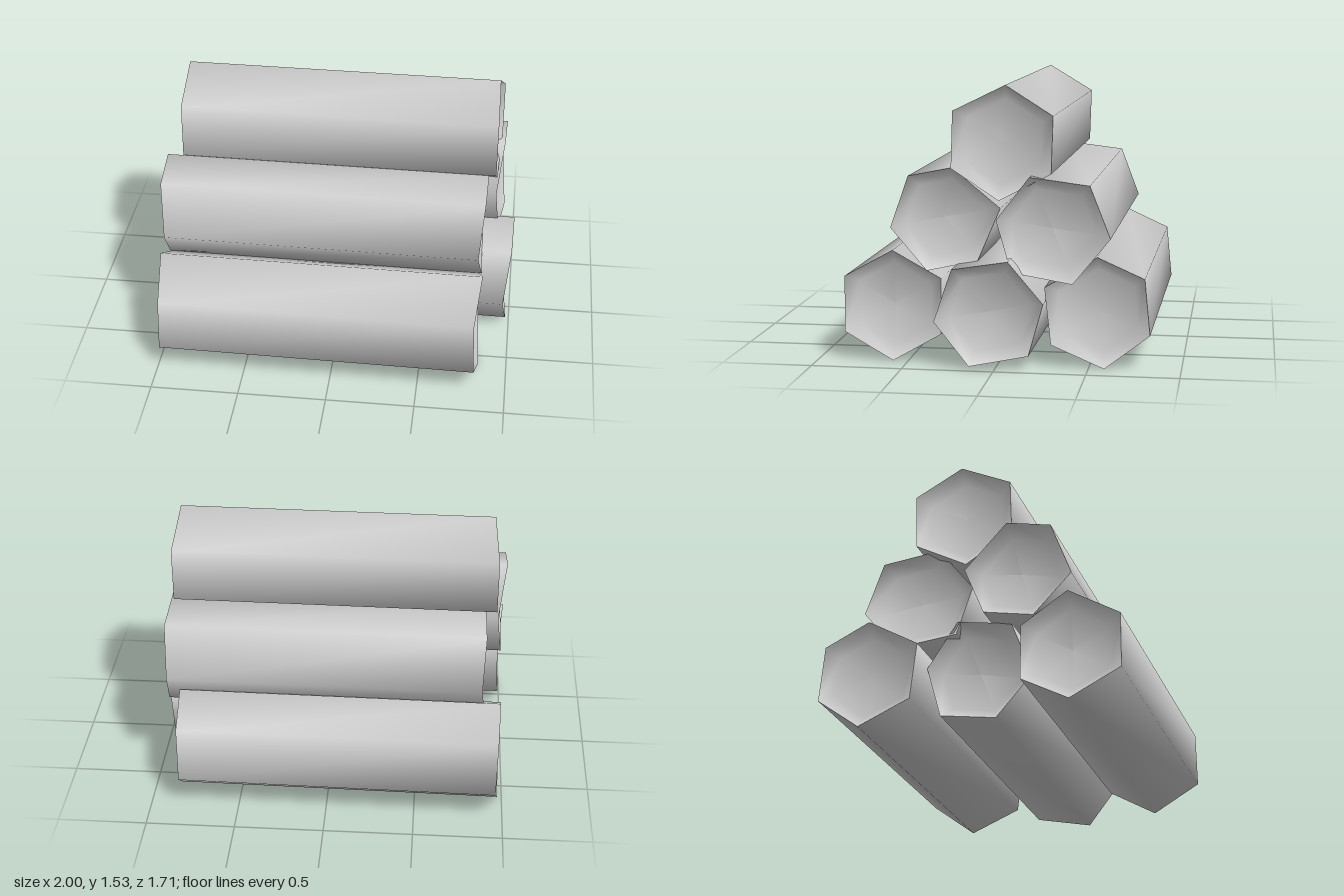
import * as THREE from 'three';

// Each log: x of its middle, then six end corners as [z, y, half length]
const LOGS = [
  { name: 'topLog', x: -0.015, corners: [[-0.05, 1.53, 0.89], [-0.31, 1.37, 0.915], [-0.3, 1.06, 0.915], [-0.015, 0.91, 0.9], [0.245, 1.08, 0.895], [0.235, 1.39, 0.895]] },
  { name: 'middleFrontLog', x: -0.08, corners: [[0.49, 1.03, 0.915], [0.245, 1.08, 0.92], [-0.01, 0.855, 0.87], [0.11, 0.57, 0.9], [0.39, 0.51, 0.91], [0.595, 0.74, 0.89]] },
  { name: 'middleBackLog', x: 0.025, corners: [[-0.185, 1.045, 0.895], [-0.51, 1.005, 0.9], [-0.62, 0.72, 0.885], [-0.42, 0.475, 0.91], [-0.085, 0.525, 0.88], [0, 0.805, 0.86]] },
  { name: 'bottomFrontLog', x: -0.08, corners: [[0.58, 0.62, 0.92], [0.315, 0.465, 0.89], [0.315, 0.155, 0.9], [0.58, 0.005, 0.92], [0.855, 0.155, 0.9], [0.855, 0.465, 0.89]] },
  { name: 'bottomMiddleLog', x: 0.075, corners: [[0.225, 0.55, 0.92], [-0.08, 0.6, 0.925], [-0.265, 0.365, 0.88], [-0.185, 0.08, 0.88], [0.135, 0.02, 0.905], [0.33, 0.255, 0.885]] },
  { name: 'bottomBackLog', x: -0.06, corners: [[-0.545, 0.61, 0.91], [-0.8, 0.495, 0.9], [-0.83, 0.185, 0.895], [-0.585, 0, 0.915], [-0.295, 0.125, 0.92], [-0.26, 0.44, 0.92]] },
];
const DRIFT = 0.025; // sideways shift of the left-hand end
const RIM = 0.75;    // size of the recessed floor against the outline
const DEPTH = 0.07;  // depth of the recess

// Smooth skin through a row of closed rings with equal point counts
function loft(rings) {
  const n = rings[0].length;
  const index = [];
  for (let r = 0; r < rings.length - 1; r++) {
    for (let i = 0; i < n; i++) {
      const a = r * n + i, b = r * n + (i + 1) % n;
      index.push(a, b, a + n, b, b + n, a + n);
    }
  }
  const geometry = new THREE.BufferGeometry().setFromPoints(rings.flat());
  geometry.setIndex(index);
  geometry.computeVertexNormals();
  return geometry;
}

// Outer edge, recessed inner edge and centre of one end (side is 1 or -1)
function endRings({ x, corners }, side) {
  const outer = corners.map(([z, y, half]) =>
    new THREE.Vector3(x + side * half, y, side > 0 ? z : z - DRIFT));
  const middle = new THREE.Vector3();
  outer.forEach((p) => middle.addScaledVector(p, 1 / outer.length));
  const inner = outer.map((p) => {
    const q = p.clone().lerp(middle, 1 - RIM);
    q.x -= side * DEPTH;
    return q;
  });
  middle.x -= side * DEPTH;
  return { outer, inner, centre: outer.map(() => middle.clone()) };
}

export function createModel() {
  const model = new THREE.Group();
  model.name = 'logPile';
  const material = new THREE.MeshStandardMaterial({ color: 0xcccccc });
  for (const log of LOGS) {
    const group = new THREE.Group();
    group.name = log.name;
    const right = endRings(log, 1);
    const left = endRings(log, -1);
    const parts = {
      bark: [right.outer, left.outer],
      leftEnd: [right.centre, right.inner, right.outer],
      rightEnd: [left.outer, left.inner, left.centre],
    };
    for (const [name, rings] of Object.entries(parts)) {
      const mesh = new THREE.Mesh(loft(rings), material);
      mesh.name = name;
      group.add(mesh);
    }
    model.add(group);
  }
  return model;
}
